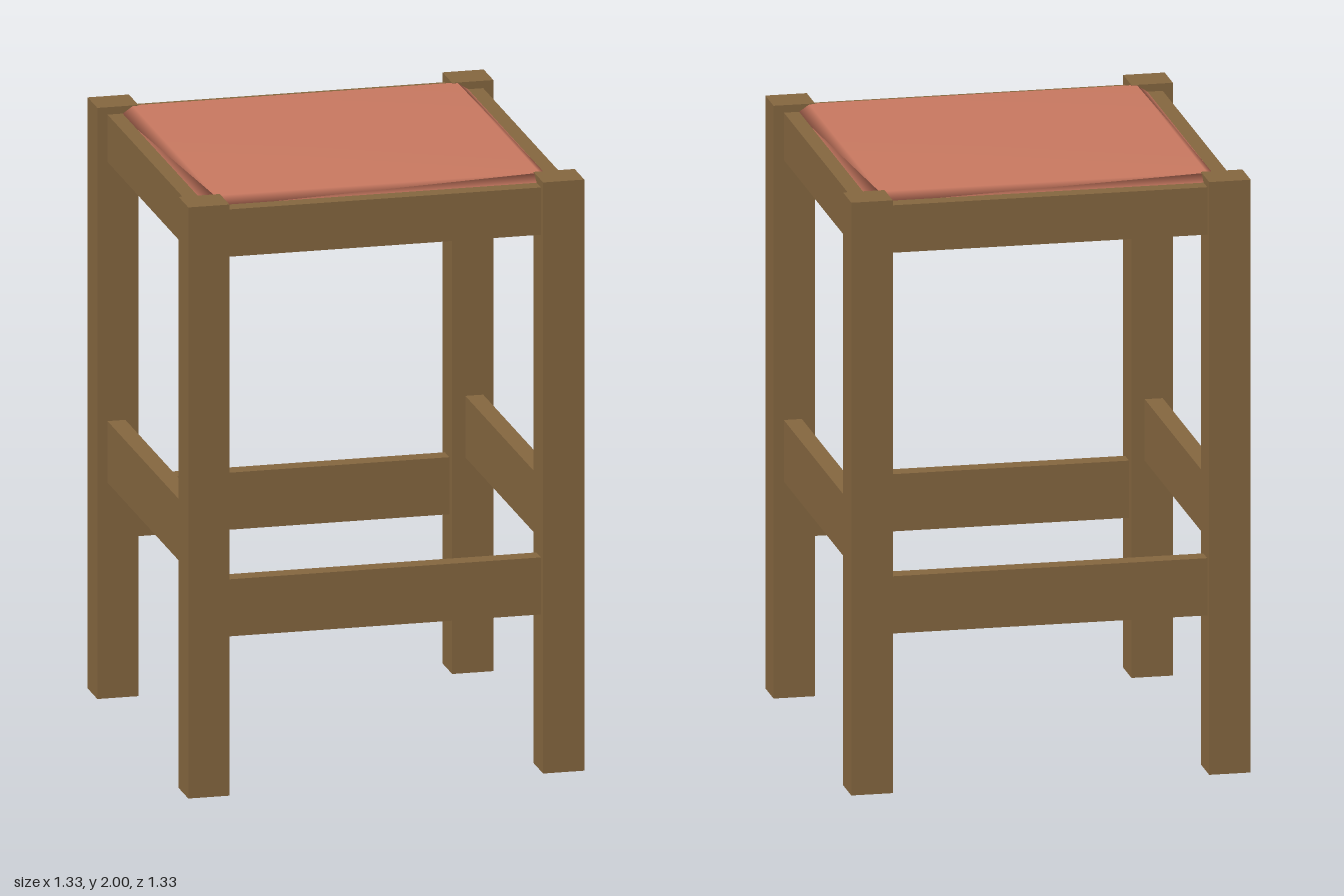
import * as THREE from 'three';
import { mergeVertices } from 'three/addons/utils/BufferGeometryUtils.js';

const wood = new THREE.MeshStandardMaterial({ color: 0x84663f });
wood.name = 'brown wood';
const fabric = new THREE.MeshStandardMaterial({ color: 0xc87860 });
fabric.name = 'terracotta fabric';

// Box with its lower face at y0 and its upper face at y1
function addBox(group, name, x, z, y0, y1, w, d) {
  const mesh = new THREE.Mesh(new THREE.BoxGeometry(w, y1 - y0, d), wood);
  mesh.name = name;
  mesh.position.set(x, (y0 + y1) / 2, z);
  group.add(mesh);
}

// Low pad with sloping sides and softly shaded edges
function cushionGeometry(bottom, top, height) {
  let geometry = new THREE.BoxGeometry(bottom, height, bottom);
  const p = geometry.attributes.position;
  for (let i = 0; i < p.count; i++) {
    if (p.getY(i) > 0) {
      p.setX(i, p.getX(i) * top / bottom);
      p.setZ(i, p.getZ(i) * top / bottom);
    }
  }
  geometry.deleteAttribute('normal');
  geometry.deleteAttribute('uv');
  geometry = mergeVertices(geometry);
  geometry.computeVertexNormals();
  return geometry;
}

export function createModel() {
  const stool = new THREE.Group();
  stool.name = 'stool';

  // Four square legs
  for (const [sx, side] of [[1, 'Left'], [-1, 'Right']]) {
    for (const [sz, end] of [[1, 'front'], [-1, 'back']]) {
      addBox(stool, `${end}${side}Leg`, sx * 0.595, sz * 0.601, 0, 2, 0.138, 0.128);
    }
  }

  // Stretchers, low at front and back, higher at the sides
  for (const [s, end, side] of [[1, 'front', 'left'], [-1, 'back', 'right']]) {
    addBox(stool, `${end}Stretcher`, 0, s * 0.605, 0.53, 0.723, 1.08, 0.06);
    addBox(stool, `${side}Stretcher`, s * 0.6, 0, 0.73, 0.938, 0.06, 1.1);
  }

  // Seat frame between the legs, set in slightly from their outer faces
  addBox(stool, 'seatFrame', 0, 0, 1.815, 1.975, 1.26, 1.272);

  // Padded seat, just below the leg tops
  const cushion = new THREE.Mesh(cushionGeometry(1.176, 1.09, 0.029), fabric);
  cushion.name = 'cushion';
  cushion.position.y = 1.9835;
  stool.add(cushion);

  return stool;
}
